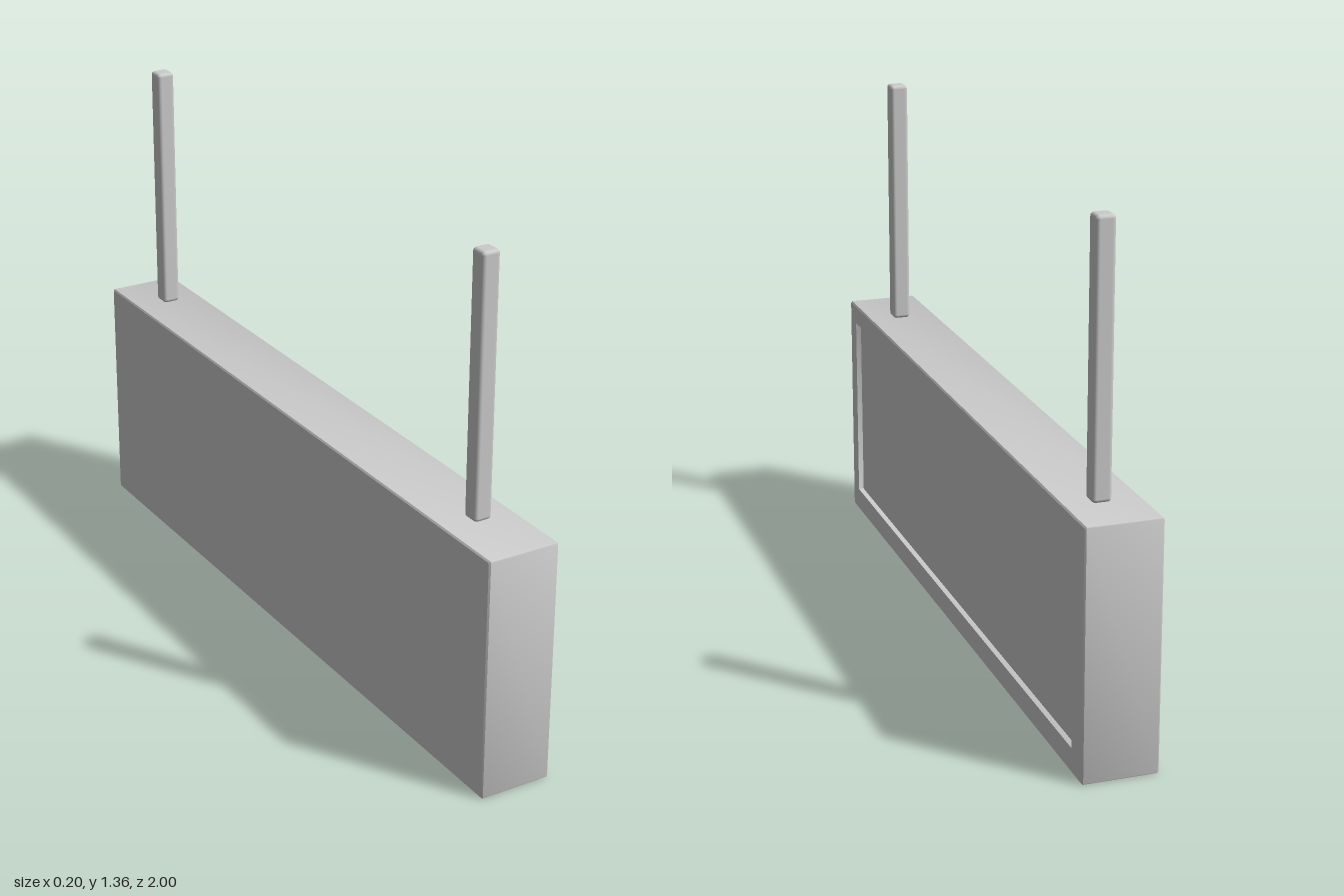
import * as THREE from 'three';
import { toCreasedNormals } from 'three/addons/utils/BufferGeometryUtils.js';
import { RoundedBoxGeometry } from 'three/addons/geometries/RoundedBoxGeometry.js';

// Rounded rectangle at a given x, counter-clockwise as seen from +x
function ring(x, z0, z1, y0, y1, r) {
  const corners = [[z0 + r, y1 - r], [z1 - r, y1 - r], [z1 - r, y0 + r], [z0 + r, y0 + r]];
  const points = [];
  corners.forEach(([z, y], i) => {
    for (let k = 0; k <= 2; k++) {
      const a = (i + k / 2) * Math.PI / 2;
      points.push(new THREE.Vector3(x, y + r * Math.sin(a), z - r * Math.cos(a)));
    }
  });
  return points;
}

// Skin consecutive rings, dropping collapsed triangles
function loft(rings) {
  const triangles = [];
  const add = (...t) => {
    if (new THREE.Triangle(...t).getArea() > 1e-10) triangles.push(...t);
  };
  for (let j = 0; j < rings.length - 1; j++) {
    const a = rings[j], b = rings[j + 1];
    for (let i = 0; i < a.length; i++) {
      const n = (i + 1) % a.length;
      add(a[i], a[n], b[n]);
      add(a[i], b[n], b[i]);
    }
  }
  return toCreasedNormals(new THREE.BufferGeometry().setFromPoints(triangles), 0.5);
}

export function createModel() {
  const group = new THREE.Group();
  const material = new THREE.MeshStandardMaterial({ color: 0xcccccc });

  // Sign box: closed back, softened edges, shallow recessed panel on the +x side
  const H = 0.66, b = 0.004;
  const outer = (x, inset) => ring(x, -1 + inset, 1 - inset, inset, H - inset, b);
  const recess = x => ring(x, -0.93, 0.943, 0.066, 0.605, 0.003);
  const centre = x => ring(x, 0, 0, H / 2, H / 2, 0);
  const box = new THREE.Mesh(loft([
    centre(-0.1), outer(-0.1, b), outer(-0.1 + b, 0),
    outer(0.1 - b, 0), outer(0.1, b),
    recess(0.1), recess(0.085), centre(0.085),
  ]), material);
  box.name = 'signBox';
  group.add(box);

  // Hanging posts
  const postHeight = 0.7;
  [['frontPost', 0.795], ['backPost', -0.842]].forEach(([name, z]) => {
    const post = new THREE.Mesh(new RoundedBoxGeometry(0.05, postHeight, 0.05, 2, 0.01), material);
    post.name = name;
    post.position.set(0.005, H + postHeight / 2, z);
    group.add(post);
  });

  return group;
}
